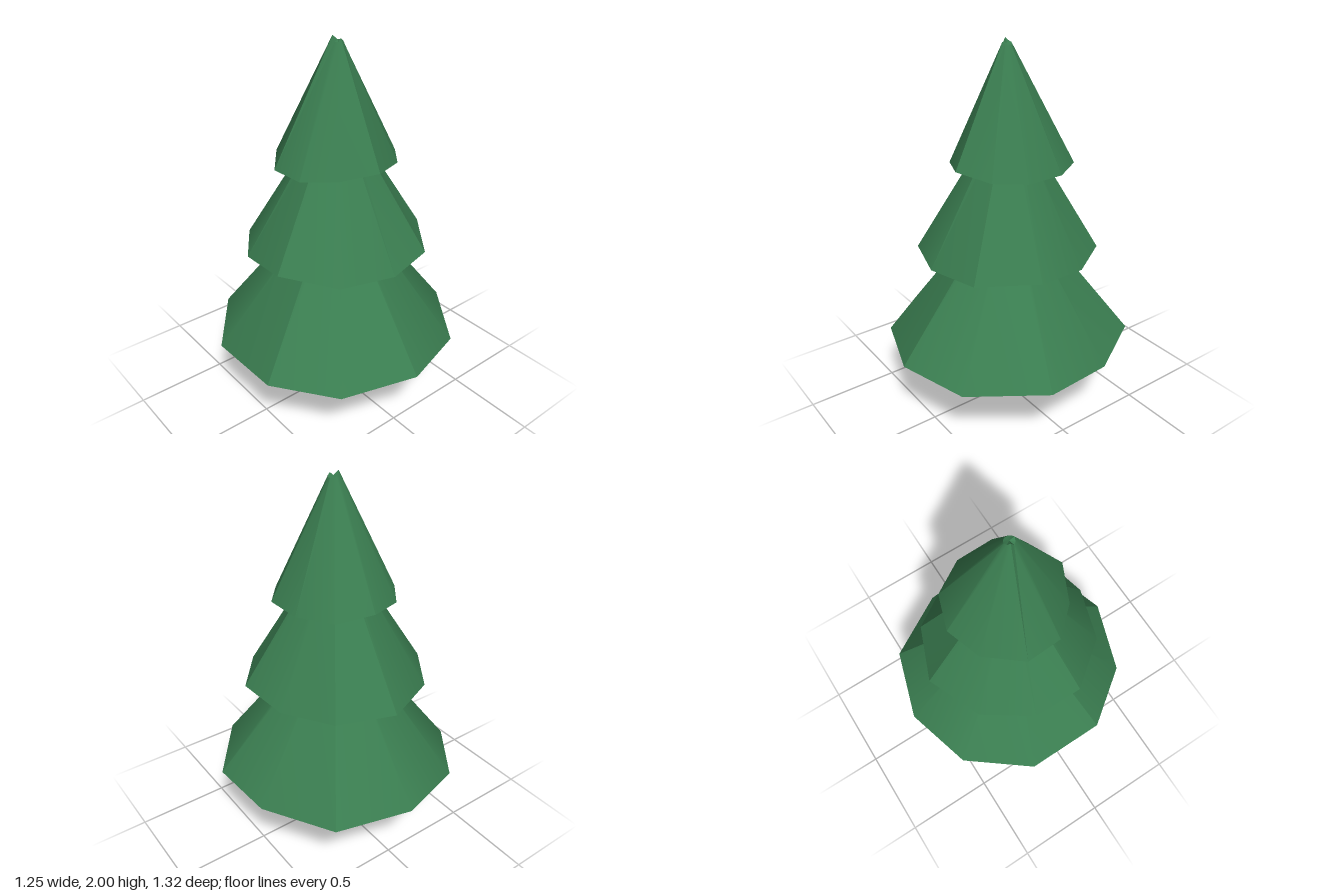
import * as THREE from 'three';
import { toCreasedNormals } from 'three/addons/utils/BufferGeometryUtils.js';

// Closed loft between a lower and an upper ring of [x, y, z] points
function loft(lower, upper) {
  const n = lower.length;
  const centre = (ring) => [0, 1, 2].map((k) => ring.reduce((s, p) => s + p[k], 0) / n);
  const points = [...lower, ...upper, centre(lower), centre(upper)];
  const index = [];
  for (let i = 0; i < n; i++) {
    const j = (i + 1) % n;
    index.push(j, i, n + i, j, n + i, n + j); // side
    index.push(2 * n, i, j); // underside
    index.push(2 * n + 1, n + j, n + i); // tip
  }
  const geometry = new THREE.BufferGeometry();
  geometry.setAttribute('position', new THREE.Float32BufferAttribute(points.flat(), 3));
  geometry.setIndex(index);
  return toCreasedNormals(geometry, THREE.MathUtils.degToRad(30));
}

// Ring of ten points, starting at the back and turning towards +x
function tipRing(radius, heights, cx = 0, cz = 0) {
  return heights.map((y, i) => {
    const a = (i / heights.length) * Math.PI * 2;
    return [cx + Math.sin(a) * radius, y, cz - Math.cos(a) * radius];
  });
}

export function createModel() {
  const tree = new THREE.Group();
  tree.name = 'pineTree';
  const foliage = new THREE.MeshStandardMaterial({ color: 0x3a7d50 });
  foliage.name = 'foliage green';
  const bark = new THREE.MeshStandardMaterial({ color: 0x6b4e37 });
  bark.name = 'bark brown';

  // Tapered trunk
  const trunk = new THREE.Mesh(new THREE.CylinderGeometry(0.08, 0.1, 0.45, 20), bark);
  trunk.name = 'trunk';
  trunk.position.set(-0.007, 0.225, 0);
  tree.add(trunk);

  // Foliage tiers: hand-cut uneven rims, each closing to a small tip
  const tiers = [
    {
      name: 'lowerFoliage',
      rim: [
        [0, 0.41, -0.66], [0.39, 0.395, -0.54], [0.6, 0.395, -0.18], [0.625, 0.4, 0.19], [0.365, 0.39, 0.545],
        [-0.01, 0.4, 0.66], [-0.4, 0.385, 0.53], [-0.625, 0.39, 0.225], [-0.625, 0.37, -0.22], [-0.375, 0.395, -0.55],
      ],
      tip: tipRing(0.05, Array(10).fill(1.18)),
    },
    {
      name: 'middleFoliage',
      rim: [
        [-0.01, 0.91, -0.5], [0.28, 0.905, -0.385], [0.435, 0.905, -0.14], [0.47, 0.93, 0.14], [0.27, 0.91, 0.4],
        [-0.01, 0.905, 0.47], [-0.29, 0.905, 0.385], [-0.48, 0.935, 0.14], [-0.475, 0.92, -0.13], [-0.305, 0.91, -0.375],
      ],
      tip: tipRing(0.05, Array(10).fill(1.62)),
    },
    {
      name: 'upperFoliage',
      rim: [
        [0.01, 1.4, -0.335], [0.2, 1.38, -0.27], [0.305, 1.38, -0.1], [0.31, 1.38, 0.105], [0.2, 1.38, 0.24],
        [0.01, 1.4, 0.32], [-0.18, 1.38, 0.235], [-0.305, 1.37, 0.1], [-0.315, 1.37, -0.09], [-0.175, 1.385, -0.27],
      ],
      tip: tipRing(0.026, [1.98, 1.97, 1.97, 1.97, 1.975, 1.985, 1.97, 1.97, 2, 1.985], 0.004, 0.008),
    },
  ];
  for (const { name, rim, tip } of tiers) {
    const mesh = new THREE.Mesh(loft(rim, tip), foliage);
    mesh.name = name;
    tree.add(mesh);
  }
  return tree;
}
